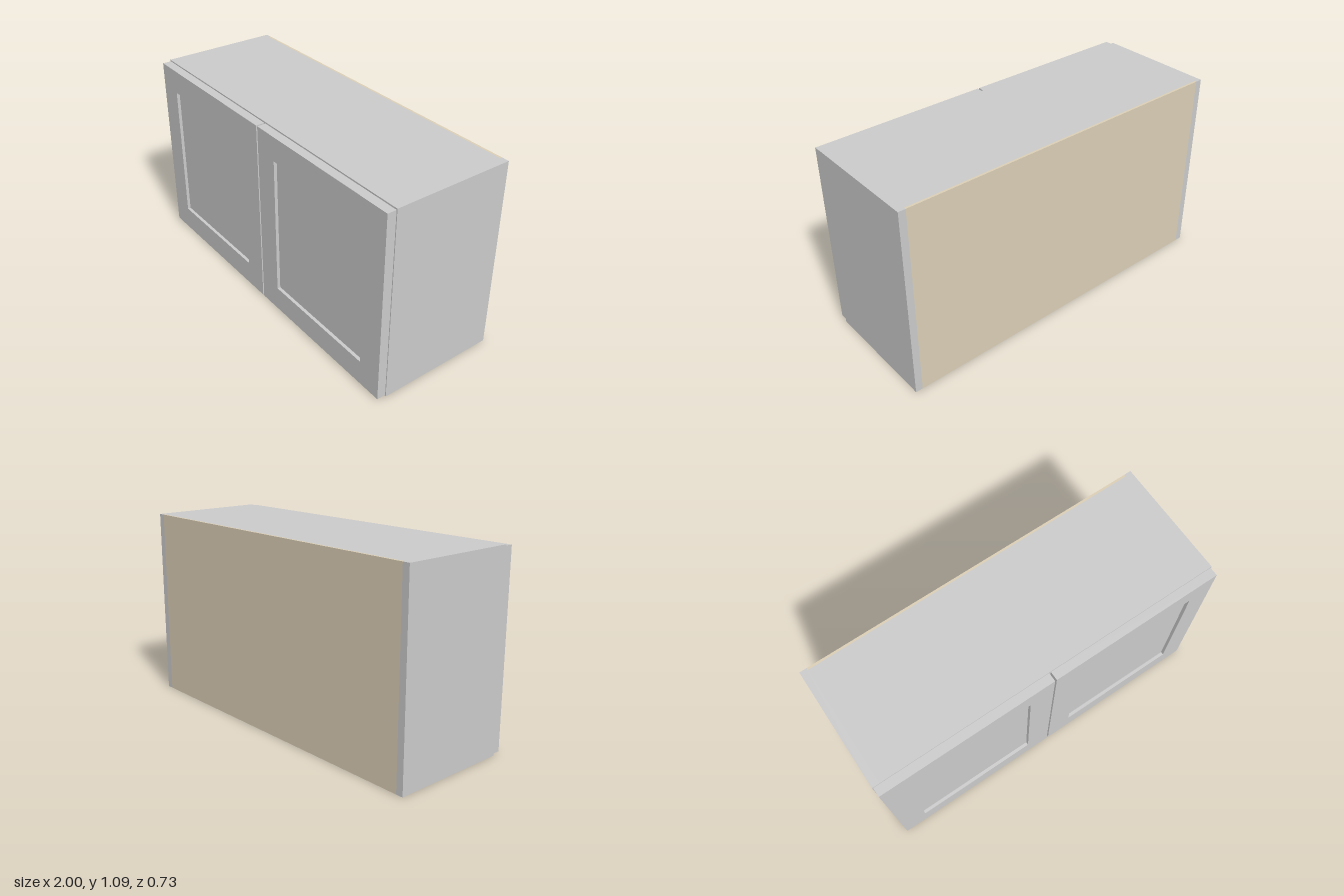
import * as THREE from 'three';

const grey = new THREE.MeshStandardMaterial({ color: 0xcccccc });
const tan = new THREE.MeshStandardMaterial({ color: 0xdccfb6 });

const H = 1.09, BACK = -0.365, FRONT = 0.315, T = 0.04;

// Box given by its minimum and maximum corners
function panel(name, [x0, y0, z0], [x1, y1, z1], material = grey) {
  const mesh = new THREE.Mesh(new THREE.BoxGeometry(x1 - x0, y1 - y0, z1 - z0), material);
  mesh.name = name;
  mesh.position.set((x0 + x1) / 2, (y0 + y1) / 2, (z0 + z1) / 2);
  return mesh;
}

function rectangle(path, x0, y0, x1, y1) {
  path.moveTo(x0, y0);
  path.lineTo(x1, y0);
  path.lineTo(x1, y1);
  path.lineTo(x0, y1);
  path.closePath();
  return path;
}

// Shaker door: a frame with a square opening around a recessed panel
function makeDoor(name, centreX) {
  const door = new THREE.Group();
  door.name = name;
  const shape = rectangle(new THREE.Shape(), -0.495, 0.008, 0.495, 1.082);
  shape.holes.push(rectangle(new THREE.Path(), -0.355, 0.148, 0.355, 0.945));
  const frame = new THREE.Mesh(
    new THREE.ExtrudeGeometry(shape, { depth: 0.05, bevelEnabled: false }), grey);
  frame.name = 'doorFrame';
  frame.position.z = FRONT;
  door.add(frame);
  door.add(panel('doorPanel', [-0.355, 0.148, FRONT + 0.012], [0.355, 0.945, FRONT + 0.032]));
  door.position.x = centreX;
  return door;
}

export function createModel() {
  const cabinet = new THREE.Group();
  cabinet.name = 'wallCabinet';
  const inner = 1 - T, backFace = BACK + 0.012;

  // Carcass
  cabinet.add(
    panel('leftSide', [inner, 0, BACK], [1, H, FRONT]),
    panel('rightSide', [-1, 0, BACK], [-inner, H, FRONT]),
    panel('topPanel', [-inner, H - T, backFace], [inner, H, FRONT]),
    panel('bottomPanel', [-inner, 0, backFace], [inner, T, FRONT], tan),
    panel('shelf', [-inner, 0.53, backFace], [inner, 0.57, FRONT - 0.01]),
    panel('backPanel', [-inner, 0, BACK], [inner, H, backFace], tan)
  );

  // Pair of doors
  cabinet.add(makeDoor('leftDoor', 0.5), makeDoor('rightDoor', -0.5));
  return cabinet;
}
